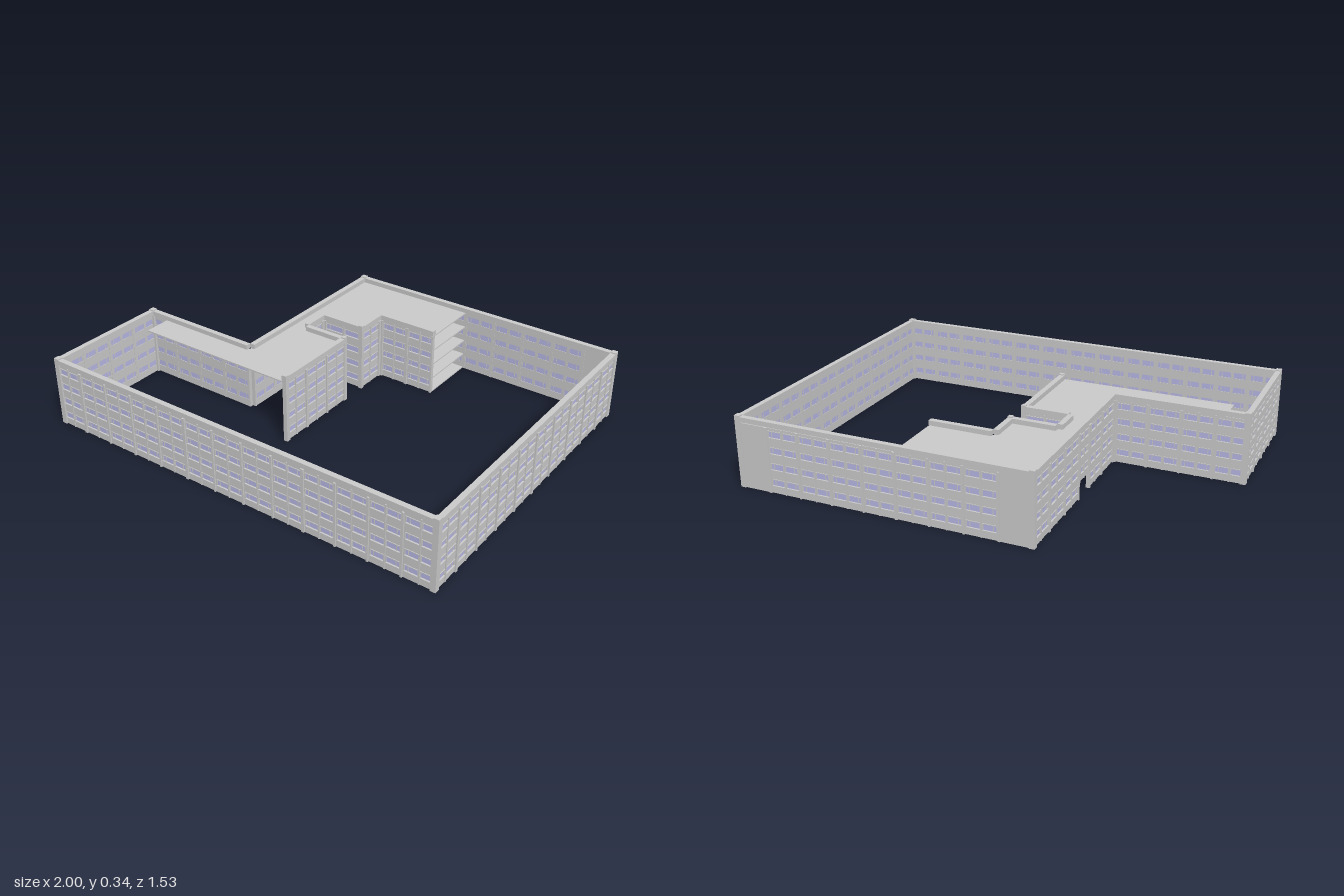
import * as THREE from 'three';
import { mergeGeometries } from 'three/addons/utils/BufferGeometryUtils.js';

const grey = new THREE.MeshStandardMaterial({ color: 0xcccccc });
const glassMat = new THREE.MeshStandardMaterial({ color: 0xb9b9e6 });

const FLOORS = 4, FLOOR_H = 0.0745, WALL_TOP = 0.302, PARAPET_TOP = 0.33;
const WIN_Y = 0.035, WIN_H = 0.028; // window bottom above each floor, window height
const FACE = -0.007, BACK = -0.016, DEPTH = 0.025;

// Box given by its two extreme corners
function box(x0, x1, y0, y1, z0, z1) {
  return new THREE.BoxGeometry(x1 - x0, y1 - y0, z1 - z0)
    .translate((x0 + x1) / 2, (y0 + y1) / 2, (z0 + z1) / 2);
}

function mesh(name, geometries, material = grey) {
  const m = new THREE.Mesh(mergeGeometries(geometries), material);
  m.name = name;
  return m;
}

// One straight facade from (x0,z0) to (x1,z1); its outside is local +z
function facade(name, [x0, z0], [x1, z1], { blank = [], base = 0 } = {}) {
  const length = Math.hypot(x1 - x0, z1 - z0);
  const bays = Math.max(1, Math.round(length / 0.149));
  const w = length / bays;
  const solid = [], trim = [], glass = [];

  for (let b = 0; b < bays; b++) {
    const l = b * w, r = l + w, mid = l + w / 2;
    if (blank.includes(b)) {
      solid.push(box(l, r, base, WALL_TOP, BACK, FACE + 0.002));
      continue;
    }
    // spandrel bands below, between and above the window rows
    let y = base;
    for (let f = 0; f < FLOORS; f++) {
      const sill = f * FLOOR_H + WIN_Y, head = sill + WIN_H;
      if (sill < base) continue;
      solid.push(box(l, r, y, sill, BACK, FACE));
      y = head;
      // piers beside the windows
      solid.push(box(l, l + 0.012, sill, head, BACK, FACE));
      solid.push(box(mid - 0.007, mid + 0.007, sill, head, BACK, FACE));
      solid.push(box(r - 0.012, r, sill, head, BACK, FACE));
      // two panes with sills, lintels and a mullion each
      for (const [a, c, side] of [[l + 0.012, mid - 0.007, 0], [mid + 0.007, r - 0.012, 1]]) {
        glass.push(box(a, c, sill, head, -0.0135, -0.0105));
        const m = side ? c - 0.014 : a + 0.014;
        trim.push(box(m - 0.0015, m + 0.0015, sill, head, -0.015, -0.008));
        trim.push(box(a - 0.002, c + 0.002, sill - 0.003, sill, FACE, -0.003));
        trim.push(box(a - 0.002, c + 0.002, head, head + 0.003, FACE, -0.004));
      }
    }
    solid.push(box(l, r, y, WALL_TOP, BACK, FACE));
    // slim rib at mid bay
    trim.push(box(mid - 0.003, mid + 0.003, base, WALL_TOP, FACE, -0.003));
  }
  // pilasters on the bay lines, every fourth one wider
  for (let b = 0; b <= bays; b++) {
    const h = b % 4 === 1 ? 0.007 : 0.0045;
    const x = THREE.MathUtils.clamp(b * w, h, length - h);
    trim.push(box(x - h, x + h, base, WALL_TOP, BACK - 0.002, 0));
  }
  // recessed course and parapet beam
  trim.push(box(0, length, WALL_TOP, 0.31, -0.019, -0.01));
  trim.push(box(0, length, 0.308, PARAPET_TOP, -DEPTH, 0));

  const g = new THREE.Group();
  g.name = name;
  g.add(mesh('wallPanels', solid), mesh('pilastersAndParapet', trim));
  if (glass.length) g.add(mesh('windowPanes', glass, glassMat));
  g.position.set(x0, 0, z0);
  g.rotation.y = Math.atan2(-(z1 - z0), x1 - x0);
  return g;
}

// Horizontal slab from a plan outline of [x, z] points
function slab(name, outline, top, thickness) {
  const shape = new THREE.Shape(outline.map(([x, z]) => new THREE.Vector2(x, -z)));
  const geo = new THREE.ExtrudeGeometry(shape, { depth: thickness, bevelEnabled: false });
  geo.rotateX(-Math.PI / 2).translate(0, top - thickness, 0);
  const m = new THREE.Mesh(geo, grey);
  m.name = name;
  return m;
}

export function createModel() {
  const model = new THREE.Group();
  model.name = 'courtyardBuilding';

  // outer facades, counter-clockwise from the front
  const Z = 0.765;
  model.add(
    facade('frontFacade', [-1, Z], [1, Z]),
    facade('leftFacade', [1, Z], [1, -Z]),
    facade('backFacade', [1, -Z], [-0.39, -Z], { blank: [0, 8] }),
    facade('wingFacadeRear', [-0.39, -Z], [-0.39, -0.285]),
    facade('wingFacadeOverPassage', [-0.39, -0.285], [-0.39, -0.165], { base: FLOOR_H }),
    facade('wingFacadeFront', [-0.39, -0.165], [-0.39, 0.14]),
    facade('sideWingFacade', [-0.39, 0.14], [-1, 0.14]),
    facade('rightFacade', [-1, 0.14], [-1, Z]),
  );

  // courtyard facades, following the notch
  model.add(
    facade('courtFacadeFront', [-0.065, 0.29], [-0.065, -0.165]),
    facade('notchFacadeFront', [-0.065, -0.165], [-0.285, -0.165]),
    facade('notchFacadeOverPassage', [-0.285, -0.165], [-0.285, -0.285], { base: FLOOR_H }),
    facade('notchFacadeRear', [-0.285, -0.285], [-0.065, -0.285]),
    facade('courtFacadeMiddle', [-0.065, -0.285], [-0.065, -0.445]),
    facade('courtFacadeRear', [-0.065, -0.445], [0.225, -0.445]),
  );

  // flat roof over the wings
  model.add(slab('roof', [
    [-0.385, -0.76], [0.225, -0.76], [0.225, -0.45], [-0.07, -0.45], [-0.07, -0.29],
    [-0.29, -0.29], [-0.29, -0.16], [-0.07, -0.16], [-0.07, 0.29], [-0.89, 0.29],
    [-0.89, 0.145], [-0.385, 0.145],
  ], 0.306, 0.006));

  // floor slabs of the rear block, left open at its end
  for (let f = 0; f < FLOORS; f++) {
    model.add(slab('floorSlab' + (f + 1), [
      [-0.375, -0.75], [0.225, -0.75], [0.225, -0.46], [-0.08, -0.46], [-0.08, -0.3], [-0.375, -0.3],
    ], f * FLOOR_H + 0.006, 0.006));
  }
  model.add(slab('passageCeiling', [
    [-0.375, -0.3], [-0.3, -0.3], [-0.3, -0.16], [-0.375, -0.16],
  ], FLOOR_H + 0.006, 0.006));

  // corner posts rising just above the parapet: x, z, inward directions
  const posts = [
    [1, Z, -1, -1], [1, -Z, -1, 1], [-0.39, -Z, 1, 1], [-1, 0.14, 1, 1], [-1, Z, 1, -1],
    [-0.065, 0.29, -1, -1], [-0.065, -0.165, -1, 1], [-0.065, -0.285, -1, -1],
  ];
  posts.forEach(([x, z, sx, sz], i) => {
    const s = i < 5 ? 0.026 : 0.02;
    const post = mesh('cornerPost', [
      box(-s / 2, s / 2, 0, 0.3, -s / 2, s / 2),
      box(-s / 2, s / 2, 0.3, 0.335, -s / 2, s / 2),
    ]);
    post.position.set(x + sx * s / 2, 0, z + sz * s / 2);
    model.add(post);
  });

  return model;
}
